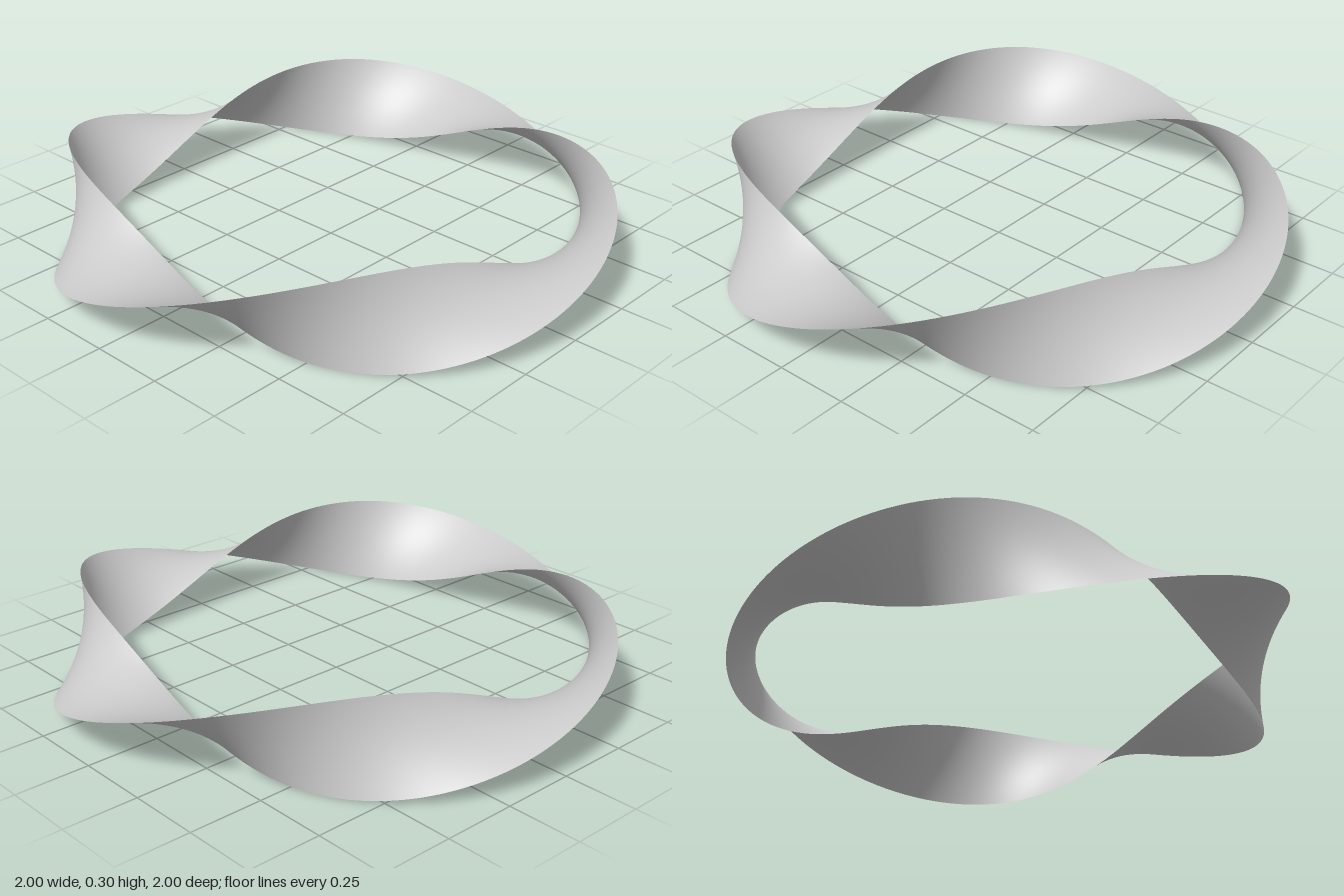
import * as THREE from 'three';
import { ParametricGeometry } from 'three/addons/geometries/ParametricGeometry.js';

const RADIUS = 0.85;      // centre line of the band
const HALF_WIDTH = 0.15;
const HALF_TWISTS = 4;    // half turns over one loop

// A straight cross-section that rotates as it travels round the ring
function bandPoint(u, v, target) {
  const around = u * Math.PI * 2;
  const twist = around * HALF_TWISTS / 2;
  const across = (2 * v - 1) * HALF_WIDTH;
  const r = RADIUS + across * Math.cos(twist);
  target.set(
    r * Math.sin(around),
    HALF_WIDTH + across * Math.sin(twist),
    r * Math.cos(around)
  );
}

export function createModel() {
  const group = new THREE.Group();
  group.name = 'twistedRing';

  const material = new THREE.MeshStandardMaterial({ color: 0xcccccc, side: THREE.DoubleSide });
  const band = new THREE.Mesh(new ParametricGeometry(bandPoint, 320, 16), material);
  band.name = 'twistedBand';
  group.add(band);

  return group;
}
